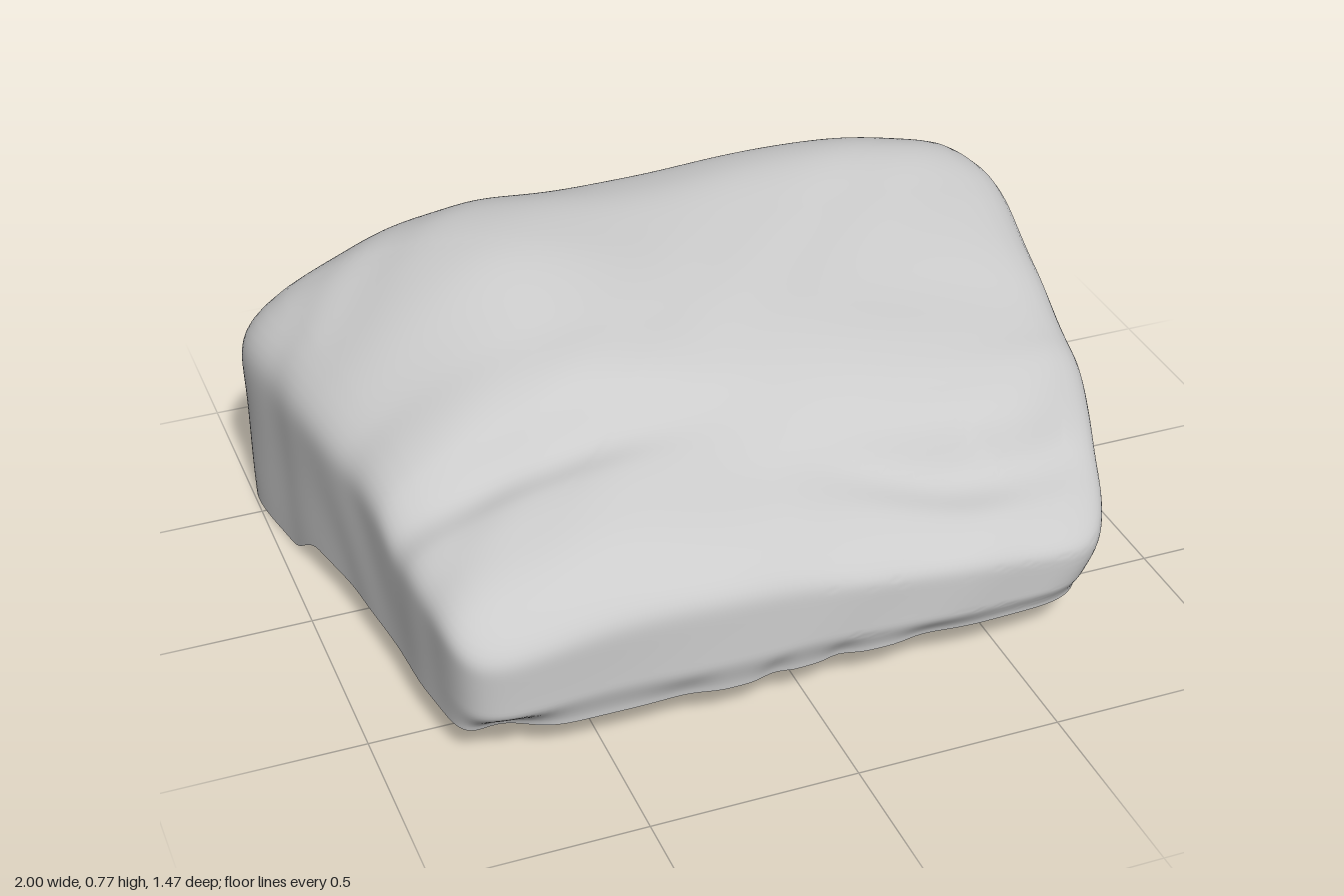
import * as THREE from 'three';
import { mergeVertices, toCreasedNormals } from 'three/addons/utils/BufferGeometryUtils.js';

const curve = (at, values, width = 1) => new THREE.CubicInterpolant(at, values, width);
const { smoothstep, lerp } = THREE.MathUtils;

// Plan outline: how far the right (-x) and left (+x) walls reach at each z
const wallZ = [-0.72, -0.6, -0.4, -0.2, 0.1, 0.3, 0.5, 0.72];
const wallNeg = curve(wallZ, [-0.99, -1.0, -0.97, -0.94, -0.89, -0.865, -0.845, -0.825]);
const wallPos = curve(wallZ, [0.945, 0.975, 1.0, 0.975, 0.93, 0.9, 0.84, 0.765]);

// Top surface: rows run back to front, columns from -x to +x
const topX = [-1, -0.5, 0, 0.6, 1];
const topZ = [-0.72, -0.5, -0.3, 0, 0.2, 0.3, 0.4, 0.47, 0.6, 0.73];
const topY = curve(topZ, [
  0.49, 0.69, 0.70, 0.71, 0.66,
  0.54, 0.75, 0.73, 0.74, 0.71,
  0.54, 0.755, 0.72, 0.705, 0.68,
  0.51, 0.69, 0.67, 0.63, 0.61,
  0.49, 0.63, 0.615, 0.575, 0.55,
  0.43, 0.535, 0.57, 0.54, 0.52,
  0.43, 0.525, 0.52, 0.48, 0.44,
  0.42, 0.51, 0.485, 0.38, 0.38,
  0.39, 0.47, 0.44, 0.35, 0.32,
  0.32, 0.40, 0.38, 0.30, 0.26,
], 5);

function topHeight(s, x, z) {
  // the ledge line wanders on the +x half
  const warp = 0.035 * Math.cos(6 * (x - 0.5)) * smoothstep(x, 0, 0.3) * smoothstep(z, 0, 0.3);
  const row = Array.from(topY.evaluate(z - warp));
  return curve(topX, row).evaluate(s)[0];
}

// Flat underside with a stepped lump hanging below one back corner
function bottomHeight(x, z) {
  const across = 0.45 * smoothstep(-x, 0.38, 0.65) + 0.55 * smoothstep(-x, 0.78, 0.91);
  const along = smoothstep(-z, 0.16, 0.34) * (1 - 0.45 * smoothstep(-z, 0.58, 0.71));
  return 0.092 + 0.008 * x - 0.084 * across * along + 0.003 * Math.sin(9 * x + 2) * Math.sin(8 * z);
}

// Gentle weathering
const bumps = (x, y, z) =>
  0.004 * Math.sin(5 * x + 4 * z + 1 + 2 * Math.sin(3 * x)) * Math.sin(4 * z - 5 * y + 2 * x) +
  0.002 * Math.sin(13 * x - 6 * y + 2 * Math.sin(7 * z + 4 * x)) * Math.sin(11 * z + 9 * y + 3 * x);

function shapeRock(p) {
  // round the plan corners, then the upper edges
  const m = Math.max(Math.abs(p.x), Math.abs(p.z));
  if (m > 0) {
    const q = Math.pow(Math.abs(p.x) ** 13 + Math.abs(p.z) ** 13, 1 / 13);
    p.x *= m / q;
    p.z *= m / q;
  }
  if (p.y > 0) p.multiplyScalar(Math.pow(m ** 6.5 + p.y ** 6.5, -1 / 6.5));

  // place on the outline; the back and +x walls lean in towards the base
  const t = (p.y + 1) / 2, s = p.x, w = p.z;
  const low = 1 - smoothstep(t, 0, 0.7);
  const backInset = lerp(0.015, 0.075, smoothstep(s, -0.95, -0.3));
  const z = w * (w > 0 ? lerp(0.71, 0.73, smoothstep(t, 0, 0.3)) : 0.73 - backInset * low);
  const a = wallNeg.evaluate(z)[0];
  const b = wallPos.evaluate(z)[0] - lerp(0.11, 0.05, (z + 0.72) / 1.44) * low;
  const x = lerp(a, b, (s + 1) / 2);
  const y = lerp(bottomHeight(x, z), topHeight(s, x, z), t);

  // chipped lower front edge
  const edge = smoothstep(w, 0.8, 1) * (1 - smoothstep(t, 0, 0.25));
  const chip = 0.05 * Math.exp(-(((x + 0.73) / 0.08) ** 2)) + 0.012 * Math.sin(9 * x + 2 * Math.sin(5 * x)) ** 4;
  const n = bumps(x, y, z);
  p.set(x + n * s * 1.5, y + n * Math.max(p.y, 0), z - edge * chip + n * w * 1.5);
}

export function createModel() {
  let geo = new THREE.BoxGeometry(2, 2, 2, 80, 28, 80);
  geo.deleteAttribute('uv');
  geo.deleteAttribute('normal');
  geo = mergeVertices(geo);

  const pos = geo.attributes.position, p = new THREE.Vector3();
  for (let i = 0; i < pos.count; i++) {
    p.fromBufferAttribute(pos, i);
    shapeRock(p);
    pos.setXYZ(i, p.x, p.y, p.z);
  }

  // rest on the ground
  geo.computeBoundingBox();
  geo.translate(0, -geo.boundingBox.min.y, 0);

  const rock = new THREE.Mesh(toCreasedNormals(geo, 0.8), new THREE.MeshStandardMaterial({ color: 0xcccccc }));
  rock.name = 'rock';
  const group = new THREE.Group();
  group.name = 'boulder';
  group.add(rock);
  return group;
}
